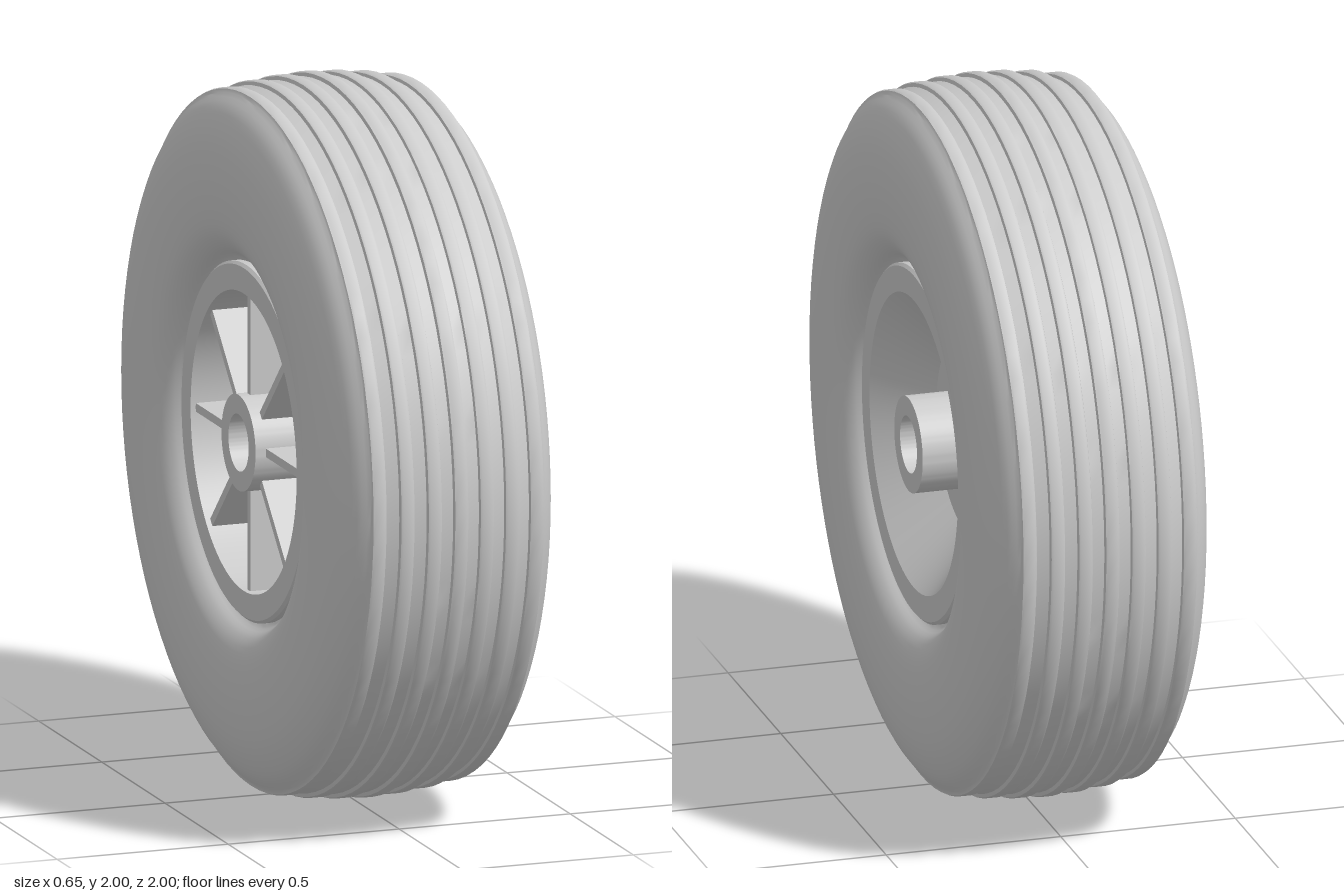
import * as THREE from 'three';
import { toCreasedNormals } from 'three/addons/utils/BufferGeometryUtils.js';

const material = new THREE.MeshStandardMaterial({ color: 0xcccccc });

// Revolve [radius, x] points around the x axis
function revolve(name, points, crease = 0.6) {
  const lathe = new THREE.LatheGeometry(points.map(([r, x]) => new THREE.Vector2(r, x)), 96);
  lathe.rotateZ(-Math.PI / 2);
  const mesh = new THREE.Mesh(toCreasedNormals(lathe, crease), material);
  mesh.name = name;
  return mesh;
}

function tireProfile() {
  // Sidewall from the bead to the shoulder
  const wall = new THREE.SplineCurve([
    [0.49, 0.235], [0.512, 0.25], [0.54, 0.285], [0.59, 0.313], [0.68, 0.324],
    [0.77, 0.323], [0.85, 0.312], [0.92, 0.286], [0.96, 0.254],
  ].map(([r, x]) => new THREE.Vector2(r, x))).getPoints(28).map((p) => [p.x, p.y]);

  // Crowned tread: raised ribs with chamfered edges, separated by grooves
  const half = [];
  const ribs = [[0.23, 0.975], [0.153, 0.988], [0.076, 0.996], [0, 1]];
  for (const [x, r] of ribs) {
    half.push([r - 0.013, x + 0.022], [r - 0.003, x + 0.019], [r, x + 0.013]);
    if (x > 0) half.push([r, x - 0.013], [r - 0.003, x - 0.019], [r - 0.011, x - 0.022]);
  }
  const side = [...wall, ...half];
  const mirrored = side.map(([r, x]) => [r, -x]);
  return [...mirrored, ...side.reverse()];
}

export function createModel() {
  const wheel = new THREE.Group();
  wheel.name = 'wheel';

  wheel.add(revolve('tire', tireProfile()));

  // Rim: barrel with two flanges, closed by a dished wall on the +x side
  wheel.add(revolve('rim', [
    [0.5, -0.262], [0.5, 0.262], [0.492, 0.27], [0.42, 0.27], [0.265, 0.125], [0.1, 0.125],
    [0.1, 0.1], [0.25, 0.1], [0.42, 0.245], [0.42, -0.27], [0.492, -0.27], [0.5, -0.262],
  ], 0.5));

  // Hub tube with an open bore
  wheel.add(revolve('hub', [
    [0.135, -0.285], [0.135, 0.285], [0.08, 0.285], [0.08, -0.285], [0.135, -0.285],
  ], 0.5));

  // Ribs bracing the hub against the barrel behind the dish
  const outline = new THREE.Shape([
    [-0.255, 0.11], [-0.255, 0.43], [0.25, 0.43], [0.105, 0.25], [0.105, 0.11],
  ].map(([x, r]) => new THREE.Vector2(x, r)));
  const spokeGeometry = new THREE.ExtrudeGeometry(outline, { depth: 0.024, bevelEnabled: false });
  spokeGeometry.translate(0, 0, -0.012);
  const spokes = new THREE.Group();
  spokes.name = 'spokes';
  const count = 8;
  for (let i = 0; i < count; i++) {
    const spoke = new THREE.Mesh(spokeGeometry, material);
    spoke.name = 'spoke';
    spoke.rotation.x = (i / count) * Math.PI * 2;
    spokes.add(spoke);
  }
  wheel.add(spokes);

  wheel.position.y = 1;
  const model = new THREE.Group();
  model.name = 'wheelModel';
  model.add(wheel);
  return model;
}
